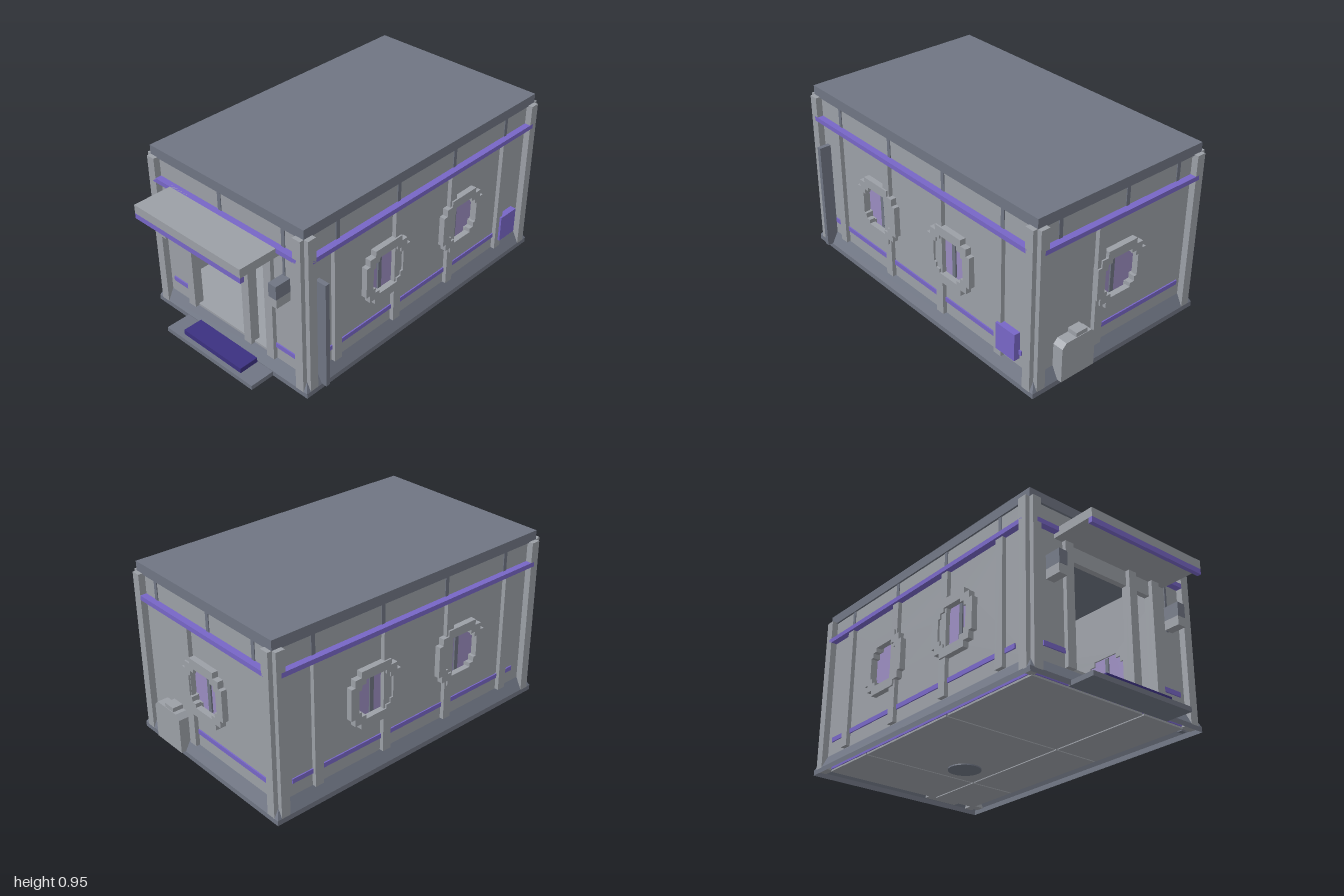
import * as THREE from 'three';

const mat = (name, color, side = THREE.FrontSide) => {
  const m = new THREE.MeshStandardMaterial({ color, side });
  m.name = name;
  return m;
};

export function createModel() {
  const grey = mat('light grey panel', 0x9b9fa6);
  const dark = mat('slate metal', 0x6f7583, THREE.DoubleSide);
  const purple = mat('purple trim', 0x7766c6);
  const glass = mat('lavender glass', 0x9a8cc0, THREE.DoubleSide);
  const matColor = mat('deep violet mat', 0x3b3080);

  const model = new THREE.Group();
  model.name = 'modularCabin';
  const body = new THREE.Group();
  body.name = 'body';
  body.position.set(-0.015, 0, -0.095);
  model.add(body);
  const HX = 0.55, HZ = 0.88; // half width and half length of the body

  const add = (parent, name, geo, material) => {
    const m = new THREE.Mesh(geo, material);
    m.name = name;
    parent.add(m);
    return m;
  };
  // Box given by its minimum and maximum on each axis
  const box = (parent, name, material, x0, x1, y0, y1, z0, z1) => {
    const m = add(parent, name, new THREE.BoxGeometry(x1 - x0, y1 - y0, z1 - z0), material);
    m.position.set((x0 + x1) / 2, (y0 + y1) / 2, (z0 + z1) / 2);
    return m;
  };
  // Round-looking outline made of square steps
  const stepped = (cls, r, cx, cy) => {
    const q = [[1, 0.55], [0.85, 0.55], [0.85, 0.8], [0.6, 0.8], [0.6, 1]];
    const mx = q.map(([x, y]) => [-x, y]).reverse();
    const half = [...q, ...mx];
    const all = [...half, ...half.map(([x, y]) => [-x, -y])];
    return new cls(all.map(([x, y]) => new THREE.Vector2(cx + x * r, cy + y * r)));
  };
  const rect = (cls, x0, x1, y0, y1) => new cls([[x0, y0], [x1, y0], [x1, y1], [x0, y1]]
    .map(([x, y]) => new THREE.Vector2(x, y)));
  const extrude = (shape, z0, z1) => {
    const g = new THREE.ExtrudeGeometry(shape, { depth: z1 - z0, bevelEnabled: false });
    return g.translate(0, 0, z0);
  };

  // One wall, built facing +z and then turned. s converts body coordinates to wall coordinates.
  function wall(name, angle, hu, hw, s, o) {
    const g = new THREE.Group();
    g.name = name;
    g.rotation.y = angle;
    body.add(g);
    const face = hw - 0.035;
    const shape = rect(THREE.Shape, -hu + 0.035, hu - 0.035, 0.09, 0.9);
    const windows = (o.windows || []).map(u => u * s);
    windows.forEach(u => shape.holes.push(stepped(THREE.Path, 0.133, u, 0.45)));
    (o.openings || []).forEach(([a, b]) => shape.holes.push(rect(THREE.Path, a, b, 0.107, 0.66)));
    add(g, 'wallPanel', extrude(shape, face - 0.03, face), grey);

    // Window: stepped frame, glass and upright bar
    windows.forEach(u => {
      const frame = stepped(THREE.Shape, 0.157, u, 0.45);
      frame.holes.push(stepped(THREE.Path, 0.108, u, 0.45));
      add(g, 'windowFrame', extrude(frame, face, hw - 0.003), grey);
      add(g, 'windowGlass', new THREE.ShapeGeometry(stepped(THREE.Shape, 0.135, u, 0.45)), glass)
        .position.z = face - 0.022;
      const b = u + 0.012 * s;
      box(g, 'windowBar', dark, b - 0.012, b + 0.012, 0.325, 0.575, face - 0.028, face - 0.014);
    });

    // Uprights, light strips and top seams
    (o.posts || []).forEach(u =>
      box(g, 'wallPost', grey, u * s - 0.025, u * s + 0.025, 0.095, 0.77, face, hw - 0.012));
    (o.strips || []).forEach(([a, b]) =>
      box(g, 'lowerStrip', purple, Math.min(a * s, b * s), Math.max(a * s, b * s), 0.165, 0.19, face, face + 0.007));
    (o.seams || []).forEach(u =>
      box(g, 'topSeam', dark, u * s - 0.011, u * s + 0.011, 0.79, 0.9, face, face + 0.004));

    // Upper rail and the pair of corner posts
    box(g, 'upperRail', purple, -hu + 0.052, hu - 0.052, 0.765, 0.79, face, hw);
    for (const k of [-1, 1]) {
      const c = k * (hu - 0.05);
      box(g, 'cornerPost', grey, c - 0.025, c + 0.025, 0.025, 0.9, hw - 0.06, hw);
    }
    return g;
  }

  const side = {
    windows: [0.31, -0.27],
    posts: [0.652, 0.23, -0.19, -0.617],
    strips: [[0.745, 0.675], [0.625, 0.255], [0.205, -0.165], [-0.215, -0.595], [-0.64, -0.765]],
    seams: [0.635, 0.215, -0.205, -0.625],
  };
  wall('leftWall', Math.PI / 2, HZ, HX, -1, side);
  wall('rightWall', -Math.PI / 2, HZ, HX, 1, side);
  wall('backWall', Math.PI, HX, HZ, -1, {
    windows: [0], posts: [0.13], strips: [[0.1, -0.45]], seams: [-0.38, -0.04, 0.38],
  });
  const front = wall('frontWall', 0, HX, HZ, 1, {
    openings: [[-0.265, 0.105], [0.155, 0.265]],
    posts: [-0.29, 0.13, 0.29],
    strips: [[-0.445, -0.315], [0.315, 0.445]],
    seams: [-0.04, 0.385],
  });
  box(front, 'frontSeam', dark, 0.377, 0.391, 0.5, 0.765, HZ - 0.036, HZ - 0.031);

  // Corner cores behind the post pairs
  for (const i of [-1, 1]) for (const k of [-1, 1]) {
    box(body, 'cornerCore', grey, i * (HX - 0.05) - 0.025, i * (HX - 0.05) + 0.025, 0.025, 0.895,
      k * (HZ - 0.05) - 0.025, k * (HZ - 0.05) + 0.025);
  }

  // Sloping skirt round the base, open above and below
  function skirt(name, y0, y1, inset) {
    let geo = new THREE.CylinderGeometry(1, 1, 2, 4, 1, true).rotateY(Math.PI / 4);
    const p = geo.attributes.position;
    for (let i = 0; i < p.count; i++) {
      const top = p.getY(i) > 0, d = top ? inset : 0;
      p.setXYZ(i, Math.sign(p.getX(i)) * (HX - d), top ? y1 : y0, Math.sign(p.getZ(i)) * (HZ - d));
    }
    geo = geo.toNonIndexed();
    geo.computeVertexNormals();
    add(body, name, geo, dark);
  }
  skirt('skirtLip', 0, 0.028, 0);
  skirt('skirtSlope', 0.028, 0.107, 0.042);

  // Floor: purple core with panels above and below
  box(body, 'floorCore', purple, -0.49, 0.49, 0.03, 0.095, -0.82, 0.82);
  box(body, 'floorTop', grey, -0.49, 0.49, 0.095, 0.103, -0.82, 0.82);
  const xs = [-0.49, 0.21, 0.49], zs = [-0.82, -0.47, 0.21, 0.82];
  for (let i = 0; i < 2; i++) for (let k = 0; k < 3; k++) {
    box(body, 'undersidePanel', grey, xs[i] + 0.005, xs[i + 1] - 0.005, 0.02, 0.03, zs[k] + 0.005, zs[k + 1] - 0.005);
  }
  add(body, 'undersideHatch', new THREE.CylinderGeometry(0.09, 0.09, 0.008, 32), dark)
    .position.set(0.036, 0.017, -0.32);

  // Roof slab
  box(body, 'roof', dark, -0.525, 0.525, 0.895, 0.95, -0.857, 0.857);

  // Entrance: awning, landing, mat and lamps
  box(model, 'awning', grey, -0.38, 0.355, 0.742, 0.79, 0.75, 1);
  box(model, 'awningFascia', purple, -0.38, 0.355, 0.713, 0.742, 0.978, 1);
  box(model, 'landing', dark, -0.33, 0.3, 0, 0.025, 0.77, 0.925);
  box(model, 'doorMat', matColor, -0.225, 0.195, 0.025, 0.053, 0.79, 0.9);
  for (const x of [-0.41, 0.38]) {
    box(model, 'lampHousing', dark, x - 0.025, x + 0.025, 0.555, 0.63, 0.75, 0.84);
    box(model, 'lampLens', grey, x - 0.025, x + 0.025, 0.505, 0.555, 0.75, 0.838);
  }

  // Fittings on the left wall
  box(model, 'sidePost', dark, 0.5, 0.565, 0.03, 0.635, 0.66, 0.685);
  box(model, 'sideBox', purple, 0.49, 0.535, 0.14, 0.29, -0.845, -0.715);

  // Service unit on the back wall, with clipped top corners
  const unit = new THREE.Shape([[0.17, 0.03], [0.38, 0.03], [0.38, 0.22], [0.355, 0.245], [0.195, 0.245], [0.17, 0.22]]
    .map(([x, y]) => new THREE.Vector2(x, y)));
  add(model, 'serviceUnit', extrude(unit, -1, -0.89), grey);
  box(model, 'serviceCap', grey, 0.22, 0.29, 0.245, 0.268, -0.997, -0.89);

  return model;
}
